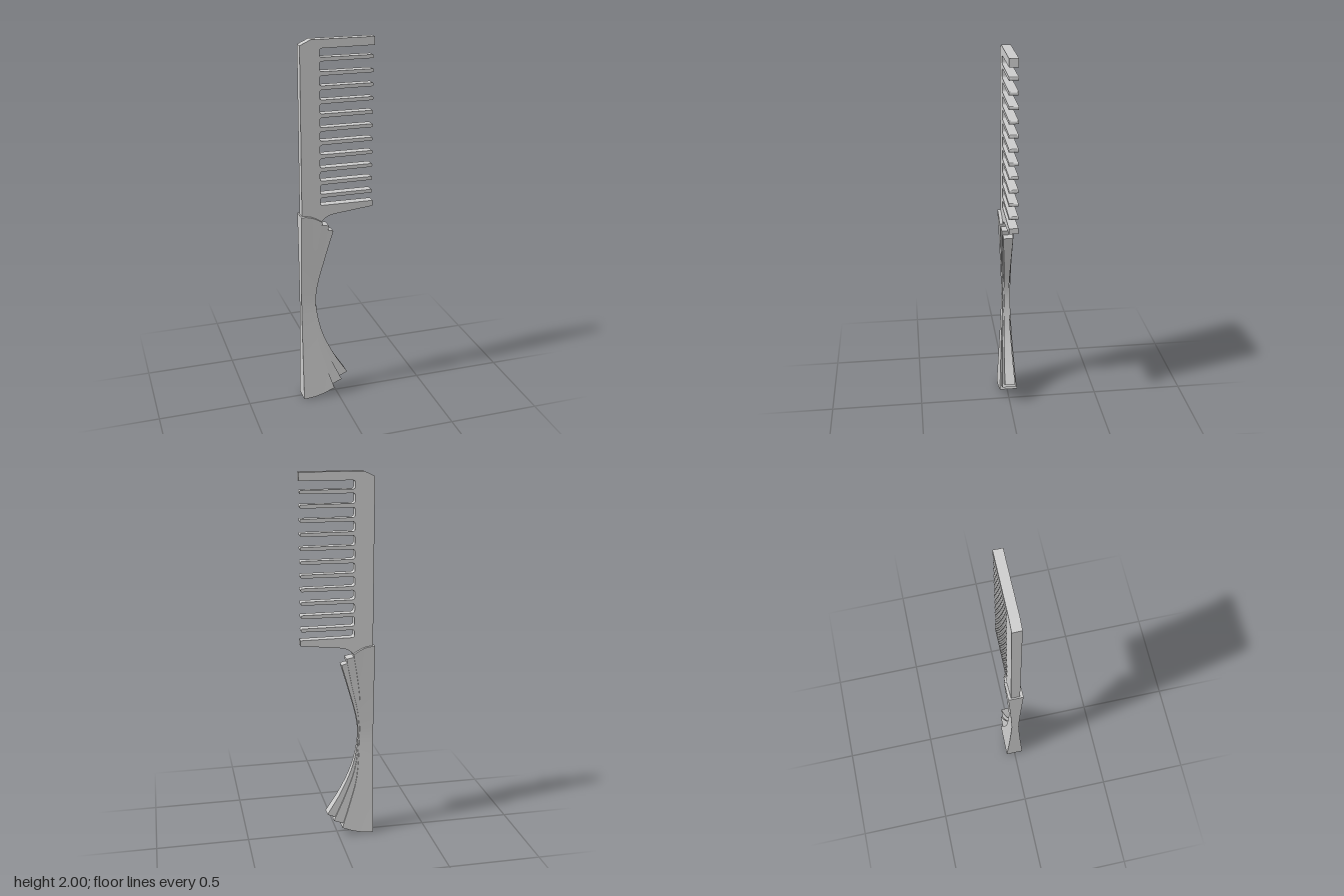
import * as THREE from 'three';

const material = new THREE.MeshStandardMaterial({ color: 0xcccccc });

function addMesh(group, name, geometry) {
  const mesh = new THREE.Mesh(geometry, material);
  mesh.name = name;
  group.add(mesh);
}

// Flat comb head: spine, guard bars and teeth as one outline
function combHead() {
  const root = -0.09, tip = 0.194, half = 0.01, r = 0.014;
  const s = new THREE.Shape();
  s.moveTo(-0.19, 0.95);
  s.lineTo(-0.1, 0.95);
  s.lineTo(-0.085, 1.045);
  s.quadraticCurveTo(-0.065, 1.08, -0.01, 1.086);
  s.lineTo(0.198, 1.108);
  s.lineTo(0.198, 1.138);

  // Rounded pocket between two neighbouring teeth
  const pocket = (y0, y1) => {
    s.lineTo(root + r, y0);
    s.quadraticCurveTo(root, y0, root, y0 + r);
    s.lineTo(root, y1 - r);
    s.quadraticCurveTo(root, y1, root + r, y1);
  };
  let y = 1.14;
  for (let i = 0; i < 11; i++) {
    const c = 1.192 + i * 0.071;
    pocket(y, c - half);
    s.lineTo(tip - 0.006, c - half + 0.001);
    s.quadraticCurveTo(tip, c - half + 0.001, tip, c);
    s.quadraticCurveTo(tip, c + half - 0.001, tip - 0.006, c + half - 0.001);
    y = c + half;
  }
  pocket(y, 1.956);
  s.lineTo(0.198, 1.958);
  s.lineTo(0.198, 2);
  s.lineTo(-0.135, 2);
  s.lineTo(-0.19, 1.974);
  s.closePath();

  const geo = new THREE.ExtrudeGeometry(s, { depth: 0.048, bevelEnabled: false, curveSegments: 4 });
  geo.translate(0, 0, -0.025);
  return geo;
}

// One handle layer: a box bent to a curved front edge and pinched at the waist
function handleLayer({ left, top, bottom, edge, bow, depth }) {
  const curve = new THREE.CatmullRomCurve3(edge.map(([x, y]) => new THREE.Vector3(x, y, 0)));
  const geo = new THREE.BoxGeometry(1, 1, 1, 8, 32, 1);
  const p = geo.attributes.position;
  const yTop = edge[0][1], yBottom = edge[edge.length - 1][1], yWaist = 0.58;
  const [dTop, dWaist, dBottom] = depth;
  for (let i = 0; i < p.count; i++) {
    const u = p.getX(i) + 0.5, v = p.getY(i) + 0.5, side = Math.sign(p.getZ(i));
    const e = curve.getPoint(1 - v);
    const f = (e.y - yBottom) / (yTop - yBottom);
    const arch = Math.sin(Math.PI * u) * (v > 0.5 ? bow[0] : -bow[1]) * Math.abs(2 * v - 1) ** 3;
    const yLeft = THREE.MathUtils.lerp(bottom, top, f);
    const upper = e.y > yWaist;
    const t = Math.abs(e.y - yWaist) / Math.abs((upper ? yTop : yBottom) - yWaist);
    const d = dWaist + ((upper ? dTop : dBottom) - dWaist) * t ** 1.25;
    p.setXYZ(i,
      THREE.MathUtils.lerp(left, e.x, u),
      THREE.MathUtils.lerp(yLeft, e.y, u) + arch,
      side * d);
  }
  geo.computeVertexNormals();
  return geo;
}

export function createModel() {
  const model = new THREE.Group();
  model.name = 'comb';
  addMesh(model, 'combHead', combHead());

  // Thick outer grip
  addMesh(model, 'handleGrip', handleLayer({
    left: -0.198, top: 1.09, bottom: 0.002, bow: [0.011, 0.011],
    edge: [[-0.083, 1.05], [-0.105, 0.92], [-0.121, 0.79], [-0.122, 0.57], [-0.106, 0.335], [-0.068, 0.19], [-0.022, 0.045]],
    depth: [0.04, 0.02, 0.049],
  }));
  // Two thinner fanned layers behind the grip's front edge
  addMesh(model, 'handleMiddleLayer', handleLayer({
    left: -0.17, top: 1.04, bottom: 0.045, bow: [0.004, 0.012],
    edge: [[-0.046, 1.025], [-0.075, 0.88], [-0.114, 0.7], [-0.119, 0.57], [-0.098, 0.39], [-0.047, 0.245], [0.024, 0.088]],
    depth: [0.033, 0.016, 0.039],
  }));
  addMesh(model, 'handleInnerLayer', handleLayer({
    left: -0.16, top: 1.02, bottom: 0.06, bow: [0.004, 0.01],
    edge: [[-0.02, 0.99], [-0.064, 0.84], [-0.108, 0.67], [-0.115, 0.57], [-0.087, 0.41], [-0.02, 0.255], [0.059, 0.125]],
    depth: [0.026, 0.012, 0.029],
  }));
  return model;
}
